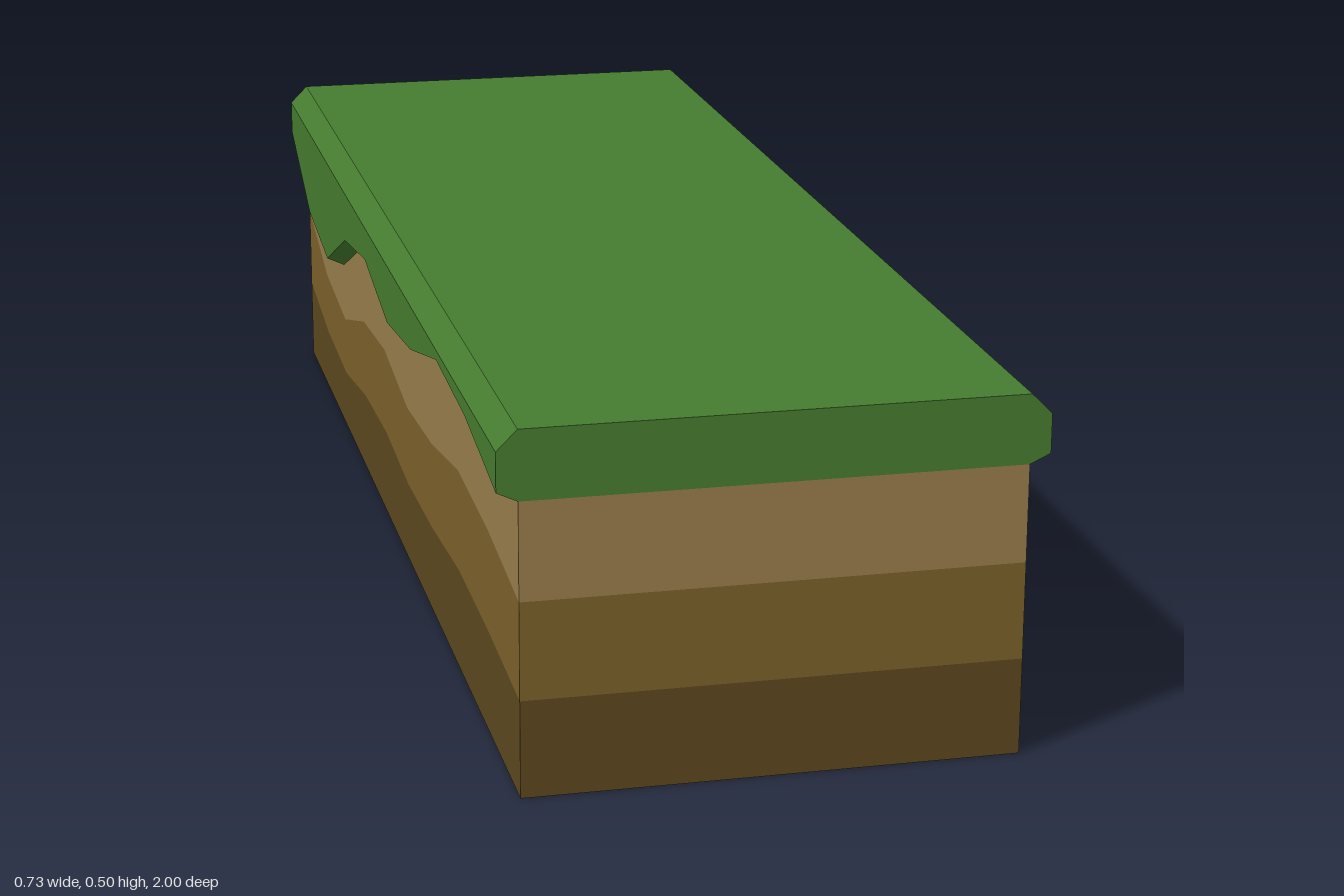
import * as THREE from 'three';

// Height of the soil under the grass, from the front end to the back end
const SOIL = [0.403, 0.434, 0.443, 0.391, 0.367, 0.405, 0.377, 0.287, 0.312, 0.403];
const HALF = 0.335, LIP = 0.363, TOP = 0.498;

// Lofts counter-clockwise sections along z, caps both ends, leaves out hidden edges
function loft(name, color, section, hidden = []) {
  const rings = SOIL.map((h, k) => section(h).map(([x, y]) => [x, y, 1 - (2 * k) / (SOIL.length - 1)]));
  const pos = [];
  const tri = (a, b, c) => pos.push(...a, ...b, ...c);
  const n = rings[0].length;
  for (let k = 0; k < rings.length - 1; k++) {
    const a = rings[k], b = rings[k + 1];
    for (let i = 0; i < n; i++) {
      if (hidden.includes(i)) continue;
      const j = (i + 1) % n;
      tri(a[i], b[i], b[j]);
      tri(a[i], b[j], a[j]);
    }
  }
  const front = rings[0], back = rings[rings.length - 1];
  for (let i = 1; i < n - 1; i++) {
    tri(front[0], front[i], front[i + 1]);
    tri(back[0], back[i + 1], back[i]);
  }
  const geo = new THREE.BufferGeometry();
  geo.setAttribute('position', new THREE.Float32BufferAttribute(pos, 3));
  geo.computeVertexNormals();
  const mesh = new THREE.Mesh(geo, new THREE.MeshStandardMaterial({ color, flatShading: true }));
  mesh.name = name;
  return mesh;
}

export function createModel() {
  const group = new THREE.Group();
  group.name = 'grassBlock';

  // Three soil layers, each a third of the local soil height
  const layers = [['lowerSoil', 0x5c471e], ['middleSoil', 0x7b602a], ['upperSoil', 0x977c4b]];
  layers.forEach(([name, color], i) => {
    const section = (h) => {
      const y0 = (h * i) / 3, y1 = (h * (i + 1)) / 3;
      return [[-HALF, y0], [HALF, y0], [HALF, y1], [-HALF, y1]];
    };
    group.add(loft(name, color, section, i === 0 ? [2] : [0, 2]));
  });

  // Chamfered turf whose overhanging sides follow the wavy soil line
  group.add(loft('grassTop', 0x457b2f, (h) => [
    [-HALF, h], [HALF, h], [LIP, h + 0.013], [LIP, 0.47],
    [HALF, TOP], [-HALF, TOP], [-LIP, 0.47], [-LIP, h + 0.013],
  ], [0]));

  return group;
}
